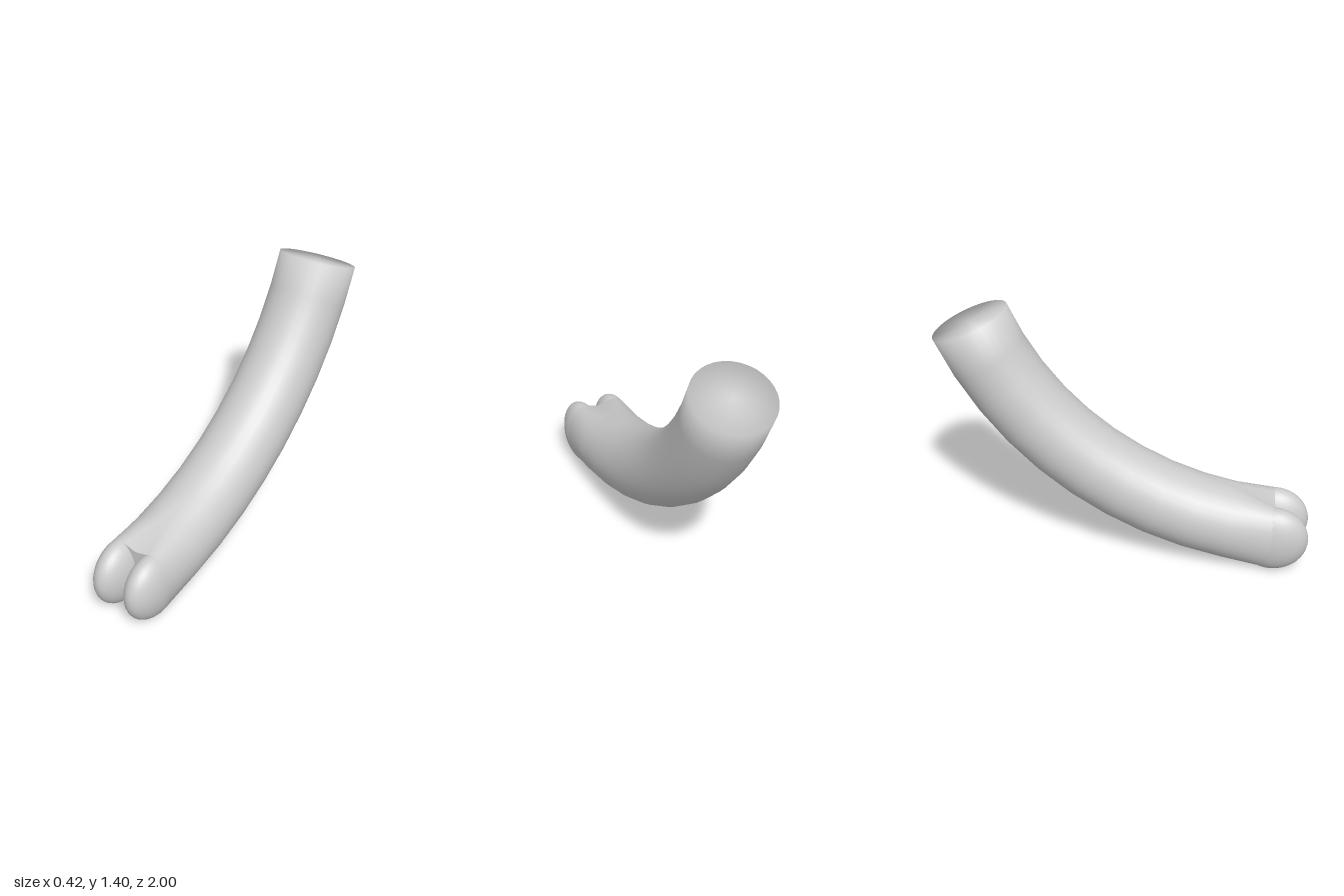
import * as THREE from 'three';

const SIDES = 32;
const RADIUS = 0.21;
const TOE = { x: 0.1, y: 0.19, z: 0.81, rx: 0.1, ry: 0.187, rz: 0.19 };

// Ring at the toes: two ellipses side by side with a shallow notch between them
function toeSection(t) {
  const c = Math.cos(t), s = Math.sin(t);
  const quarter = Math.asin(Math.min(1, Math.abs(s)));
  const u = quarter * 4 / 3;
  const x = Math.abs(c) < 1e-6 ? 0 : Math.sign(c) * (TOE.x + TOE.rx * Math.cos(u));
  return [x, Math.sign(s) * TOE.ry * Math.sin(u)];
}

const roundSection = (t) => [RADIUS * Math.cos(t), RADIUS * Math.sin(t)];

// One loop of points around a centre in the yz plane, tilted by the path angle
function makeRing(section, y, z, angle) {
  const ring = [];
  for (let j = 0; j < SIDES; j++) {
    const [px, py] = section((j / SIDES) * Math.PI * 2);
    ring.push([px, y + py * Math.cos(angle), z + py * Math.sin(angle)]);
  }
  return ring;
}

function limbGeometry() {
  const rings = [makeRing(toeSection, TOE.y, TOE.z, 0)];

  // Arc that sweeps up and back from the toes
  const a0 = THREE.MathUtils.degToRad(10), a1 = THREE.MathUtils.degToRad(67.5);
  const bend = 1.83, steps = 9;
  let y = 0, z = 0;
  for (let i = 0; i <= steps; i++) {
    const a = a0 + (a1 - a0) * i / steps;
    y = 0.225 + bend * (Math.cos(a0) - Math.cos(a));
    z = 0.57 - bend * (Math.sin(a) - Math.sin(a0));
    rings.push(makeRing(roundSection, y, z, a));
  }

  const points = rings.flat();
  const index = [];
  for (let i = 0; i < rings.length - 1; i++) {
    for (let j = 0; j < SIDES; j++) {
      const k = (j + 1) % SIDES;
      const a = i * SIDES + j, b = i * SIDES + k;
      index.push(a, a + SIDES, b, a + SIDES, b + SIDES, b);
    }
  }

  // Flat upper end, shaded smoothly with the side
  const last = (rings.length - 1) * SIDES;
  const endCentre = points.push([0, y, z]) - 1;
  // Web between the toes, with its own sharp edge
  const web = points.length;
  points.push(...rings[0]);
  const webCentre = points.push([0, TOE.y, TOE.z]) - 1;
  for (let j = 0; j < SIDES; j++) {
    const k = (j + 1) % SIDES;
    index.push(endCentre, last + k, last + j);
    index.push(webCentre, web + j, web + k);
  }

  const geometry = new THREE.BufferGeometry();
  geometry.setAttribute('position', new THREE.Float32BufferAttribute(points.flat(), 3));
  geometry.setIndex(index);
  geometry.computeVertexNormals();
  return geometry;
}

export function createModel() {
  const group = new THREE.Group();
  group.name = 'twoToedLimb';
  const grey = new THREE.MeshStandardMaterial({ color: 0xcccccc });
  grey.name = 'grey';

  const limb = new THREE.Mesh(limbGeometry(), grey);
  limb.name = 'limb';
  group.add(limb);

  // Pair of rounded toes
  for (const side of [1, -1]) {
    const toe = new THREE.Mesh(new THREE.SphereGeometry(1, 32, 24), grey);
    toe.name = side > 0 ? 'leftToe' : 'rightToe';
    toe.scale.set(TOE.rx, TOE.ry, TOE.rz);
    toe.position.set(side * TOE.x, TOE.y, TOE.z);
    group.add(toe);
  }
  return group;
}
